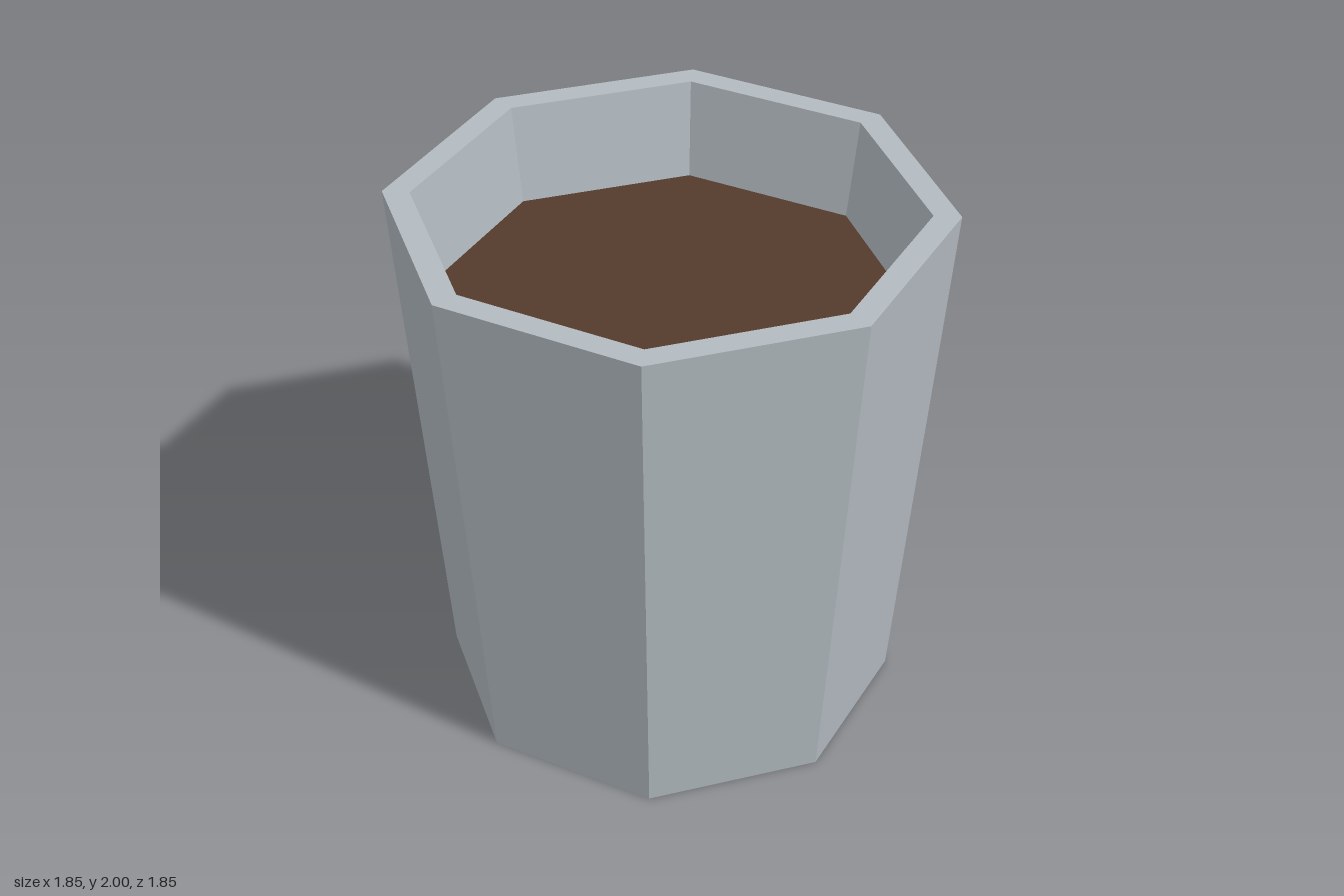
import * as THREE from 'three';

const SIDES = 8;
const HALF_STEP = Math.PI / SIDES;
const SOIL_Y = 1.63;

// Corner radius of a regular octagon from the distance to its flat side
const corner = (apothem) => apothem / Math.cos(HALF_STEP);

export function createModel() {
  const model = new THREE.Group();
  model.name = 'planter';

  const concrete = new THREE.MeshStandardMaterial({ color: 0xb2bac0, flatShading: true });
  concrete.name = 'concrete grey';
  const earth = new THREE.MeshStandardMaterial({ color: 0x543a2c, flatShading: true });
  earth.name = 'soil brown';

  // Tapered pot: base, outer wall, flat rim, inner wall down to the soil
  const profile = [
    [0, 0],
    [0.775, 0],
    [0.924, 2],
    [0.834, 2],
    [0.786, SOIL_Y],
  ].map(([apothem, y]) => new THREE.Vector2(corner(apothem), y));
  const pot = new THREE.Mesh(new THREE.LatheGeometry(profile, SIDES, HALF_STEP), concrete);
  pot.name = 'pot';
  model.add(pot);

  // Soil surface filling the pot
  const disc = new THREE.CircleGeometry(corner(0.786), SIDES, HALF_STEP);
  disc.rotateX(-Math.PI / 2);
  const soil = new THREE.Mesh(disc, earth);
  soil.name = 'soil';
  soil.position.y = SOIL_Y;
  model.add(soil);

  return model;
}
